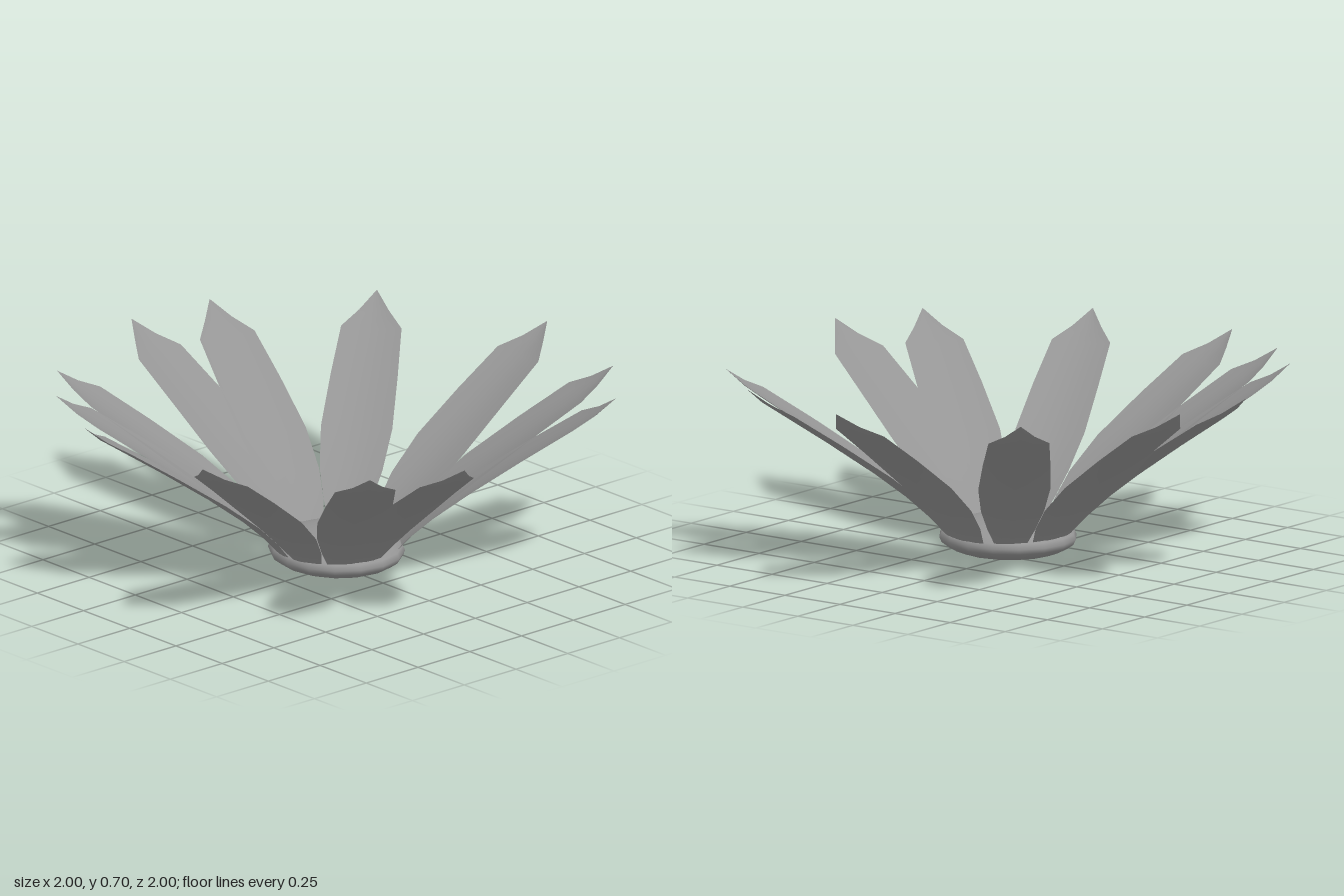
import * as THREE from 'three';

const CENTRE = [0.015, 0.015];

// Petal sections from base to tip: distance from centre, height, half width
const SECTIONS = [
  [0.22, 0.085, 0.057], [0.28, 0.155, 0.087], [0.37, 0.24, 0.114], [0.51, 0.35, 0.13],
  [0.7, 0.483, 0.122], [0.88, 0.603, 0.11], [0.95, 0.645, 0.054], [1.018, 0.7, 0],
];

// Where each petal tip points, as x and z
const TIPS = [
  [0.015, -1.0], [0.525, -0.86], [0.79, -0.64], [1.0, 0.275], [0.845, 0.595], [0.36, 0.965],
  [-0.25, 0.995], [-0.57, 0.845], [-0.765, 0.665], [-1.0, 0.1], [-0.97, -0.25], [-0.64, -0.765],
];

// Thin, slightly cupped petal pointing along +z
function petalGeometry() {
  const across = 4, rows = SECTIONS.length - 1;
  const geo = new THREE.PlaneGeometry(2, 1, across, rows);
  const pos = geo.attributes.position;
  for (let i = 0; i < pos.count; i++) {
    const u = pos.getX(i);
    const [r, y, half] = SECTIONS[rows - Math.floor(i / (across + 1))];
    const cup = half * 0.1 * (u * u - 0.6);
    pos.setXYZ(i, -u * half, y + cup, r - cup * 0.7);
  }
  geo.computeVertexNormals();
  return geo;
}

export function createModel() {
  const group = new THREE.Group();
  const petalMat = new THREE.MeshStandardMaterial({ color: 0x959595, side: THREE.DoubleSide });
  const discMat = new THREE.MeshStandardMaterial({ color: 0x959595 });

  // Flattened round centre
  const disc = new THREE.Mesh(new THREE.SphereGeometry(1, 16, 12), discMat);
  disc.name = 'flowerCentre';
  disc.scale.set(0.257, 0.074, 0.24);
  disc.position.set(CENTRE[0], 0.074, CENTRE[1]);
  group.add(disc);

  // Unevenly spread ring of petals
  const geo = petalGeometry();
  TIPS.forEach(([x, z], i) => {
    const petal = new THREE.Mesh(geo, petalMat);
    petal.name = `petal${i + 1}`;
    petal.position.set(CENTRE[0], 0, CENTRE[1]);
    petal.rotation.y = Math.atan2(x - CENTRE[0], z - CENTRE[1]);
    group.add(petal);
  });
  return group;
}
